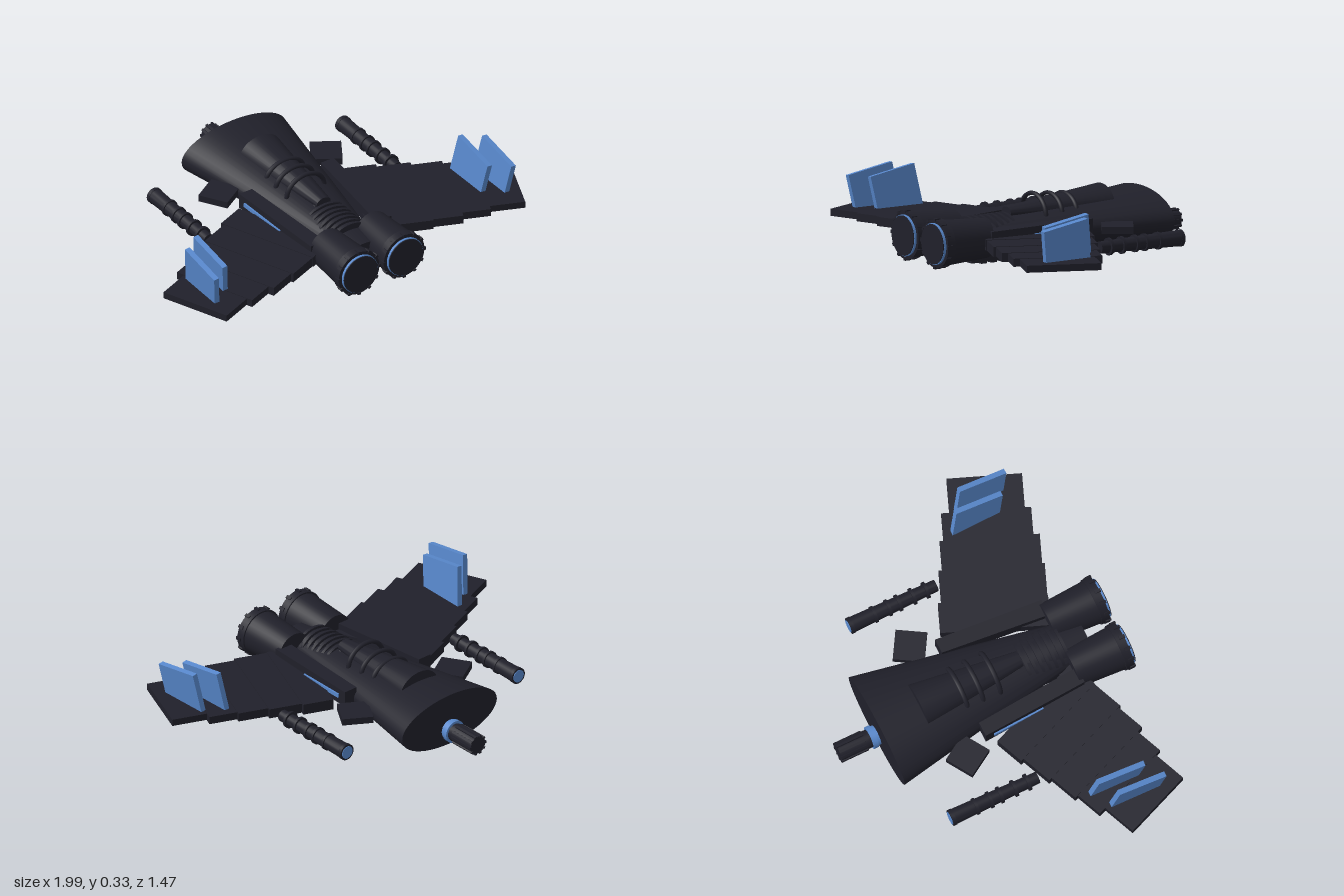
import * as THREE from 'three';
import { toCreasedNormals } from 'three/addons/utils/BufferGeometryUtils.js';

const hull = new THREE.MeshStandardMaterial({ color: 0x20202a });
hull.name = 'dark hull';
const trim = new THREE.MeshStandardMaterial({ color: 0x5888cc });
trim.name = 'blue trim';

export function createModel() {
  const model = new THREE.Group();
  model.name = 'starfighter';

  function add(name, geometry, material, x = 0, y = 0, z = 0, parent = model) {
    const mesh = new THREE.Mesh(geometry, material);
    mesh.name = name;
    mesh.position.set(x, y, z);
    parent.add(mesh);
    return mesh;
  }

  // Solid lofted along z between two elliptical (or square) ends: [x, y, z, halfWidth, halfHeight]
  function loft(name, a, b, material = hull, sides = 32) {
    const square = sides === 4;
    const k = square ? Math.SQRT2 : 1;
    const g = new THREE.CylinderGeometry(k, k, 1, sides, 1, false, square ? Math.PI / 4 : 0);
    g.rotateX(Math.PI / 2);
    const p = g.attributes.position;
    for (let i = 0; i < p.count; i++) {
      const e = p.getZ(i) < 0 ? a : b;
      p.setXYZ(i, e[0] + p.getX(i) * e[3], e[1] + p.getY(i) * e[4], e[2]);
    }
    return add(name, toCreasedNormals(g, 0.6), material);
  }

  const tube = (name, x, y, z0, z1, r0, r1 = r0, material = hull, sides = 24) =>
    loft(name, [x, y, z0, r0, r0], [x, y, z1, r1, r1], material, sides);

  // Fuselage and canopy
  loft('fuselage', [0, 0.137, -0.53, 0.3, 0.133], [0, 0.13, 0.575, 0.09, 0.045], hull, 48);
  loft('canopy', [0, 0.215, -0.31, 0.115, 0.086], [0, 0.215, 0.23, 0.04, 0.028]);

  // Hoops over the canopy
  [[-0.1, 0.09], [-0.017, 0.097], [0.075, 0.105]].forEach(([z, h]) => {
    const hoop = add('canopyHoop', new THREE.TorusGeometry(1, 0.11, 8, 32, Math.PI), hull, 0, 0.195, z);
    hoop.scale.set(0.108, h * 0.92, 0.11);
  });

  // Ribbed spine behind the canopy
  loft('spine', [0, 0.135, 0.2, 0.095, 0.07], [0, 0.135, 0.45, 0.095, 0.07]);
  for (let i = 0; i < 11; i++) {
    const z = 0.1 + i * 0.034;
    const w = i < 4 ? 0.08 : 0.122 - (i - 4) * 0.002;
    loft('spineRib', [0, 0.135, z, w, 0.082], [0, 0.135, z + 0.015, w, 0.082]);
  }

  // Belly keel with studs
  loft('keel', [0, 0.03, -0.375, 0.07, 0.016], [0, 0.04, 0.5, 0.115, 0.028], hull, 4);
  for (let i = 0; i < 10; i++) {
    add('keelStud', new THREE.BoxGeometry(0.2, 0.02, 0.032), hull, 0, 0.012, 0.42 - i * 0.056);
  }

  // Central gun
  tube('gunCollar', 0, 0.085, -0.555, -0.525, 0.05, 0.05, trim);
  tube('gunRing', 0, 0.085, -0.57, -0.545, 0.057, 0.057, trim);
  tube('gunNeck', 0, 0.085, -0.6, -0.56, 0.045);
  tube('gunBarrel', 0, 0.085, -0.735, -0.58, 0.046);
  for (let i = 0; i < 10; i++) {
    const a = (i / 10) * Math.PI * 2;
    const rib = add('gunRib', new THREE.BoxGeometry(0.012, 0.012, 0.14), hull,
      Math.cos(a) * 0.046, 0.085 + Math.sin(a) * 0.046, -0.667);
    rib.rotation.z = a;
  }

  // Wing panels: span start, span end, leading edge, trailing edge, thickness
  const sweep = 0.383;
  const panels = [
    [0.268, 0.42, -0.151, 0.375, 0.054],
    [0.42, 0.585, -0.135, 0.372, 0.049],
    [0.585, 0.735, -0.118, 0.36, 0.044],
    [0.735, 0.875, -0.1, 0.33, 0.039],
    [0.875, 1.049, -0.061, 0.3, 0.034],
  ];

  for (const s of [1, -1]) {
    const side = s > 0 ? 'left' : 'right';

    // Stepped swept wing
    const wing = new THREE.Group();
    wing.name = side + 'Wing';
    wing.rotation.y = -s * sweep;
    model.add(wing);
    panels.forEach(([u0, u1, v0, v1, t]) => {
      add('wingPanel', new THREE.BoxGeometry(u1 - u0, t, v1 - v0), hull,
        s * (u0 + u1) / 2, 0.122, (v0 + v1) / 2, wing);
    });

    // Paired leaning fins through the wing tip
    [[0.843, 0.438], [0.75, 0.373]].forEach(([x, z]) => {
      const fin = add(side + 'Fin', new THREE.BoxGeometry(0.027, 0.205, 0.25), trim, s * x, 0.214, z);
      fin.rotation.set(0.165, 0, -s * 0.13);
    });

    // Engine with nozzle rim
    const ex = s * 0.13;
    tube(side + 'Engine', ex, 0.133, 0.44, 0.705, 0.096, 0.112, hull, 32);
    tube(side + 'NozzleBand', ex, 0.133, 0.675, 0.718, 0.117, 0.117, hull, 32);
    tube(side + 'NozzleRim', ex, 0.133, 0.715, 0.73, 0.1, 0.1, trim, 32);
    tube(side + 'NozzleFace', ex, 0.133, 0.728, 0.734, 0.097, 0.097, hull, 32);
    for (let i = 0; i < 12; i++) {
      const a = (i / 12) * Math.PI * 2;
      const lug = add('nozzleLug', new THREE.BoxGeometry(0.012, 0.016, 0.03), hull,
        ex + Math.cos(a) * 0.116, 0.133 + Math.sin(a) * 0.116, 0.708);
      lug.rotation.z = a;
    }

    // Intake duct and its side stripe
    loft(side + 'Intake', [s * 0.235, 0.155, -0.085, 0.037, 0.04],
      [s * 0.19, 0.145, 0.46, 0.042, 0.035], hull, 4);
    loft(side + 'IntakeStripe', [s * 0.265, 0.157, -0.04, 0.012, 0.01],
      [s * 0.245, 0.142, 0.23, 0.012, 0.01], trim, 4);

    // Angled canard plate
    const canard = add(side + 'Canard', new THREE.BoxGeometry(0.15, 0.034, 0.152), hull, s * 0.308, 0.145, -0.2);
    canard.rotation.y = -s * 0.55;

    // Outboard cannon with rings and bright muzzle
    const cx = s * 0.543, cy = 0.112;
    tube(side + 'Cannon', cx, cy, -0.405, 0.055, 0.039, 0.029);
    tube(side + 'CannonMuzzle', cx, cy, -0.409, -0.39, 0.041);
    tube(side + 'CannonBore', cx, cy, -0.412, -0.405, 0.032, 0.032, trim);
    [-0.275, -0.2, -0.145, -0.07, 0].forEach((z) => {
      tube('cannonRing', cx, cy, z - 0.007, z + 0.007, 0.042);
    });
  }
  return model;
}
